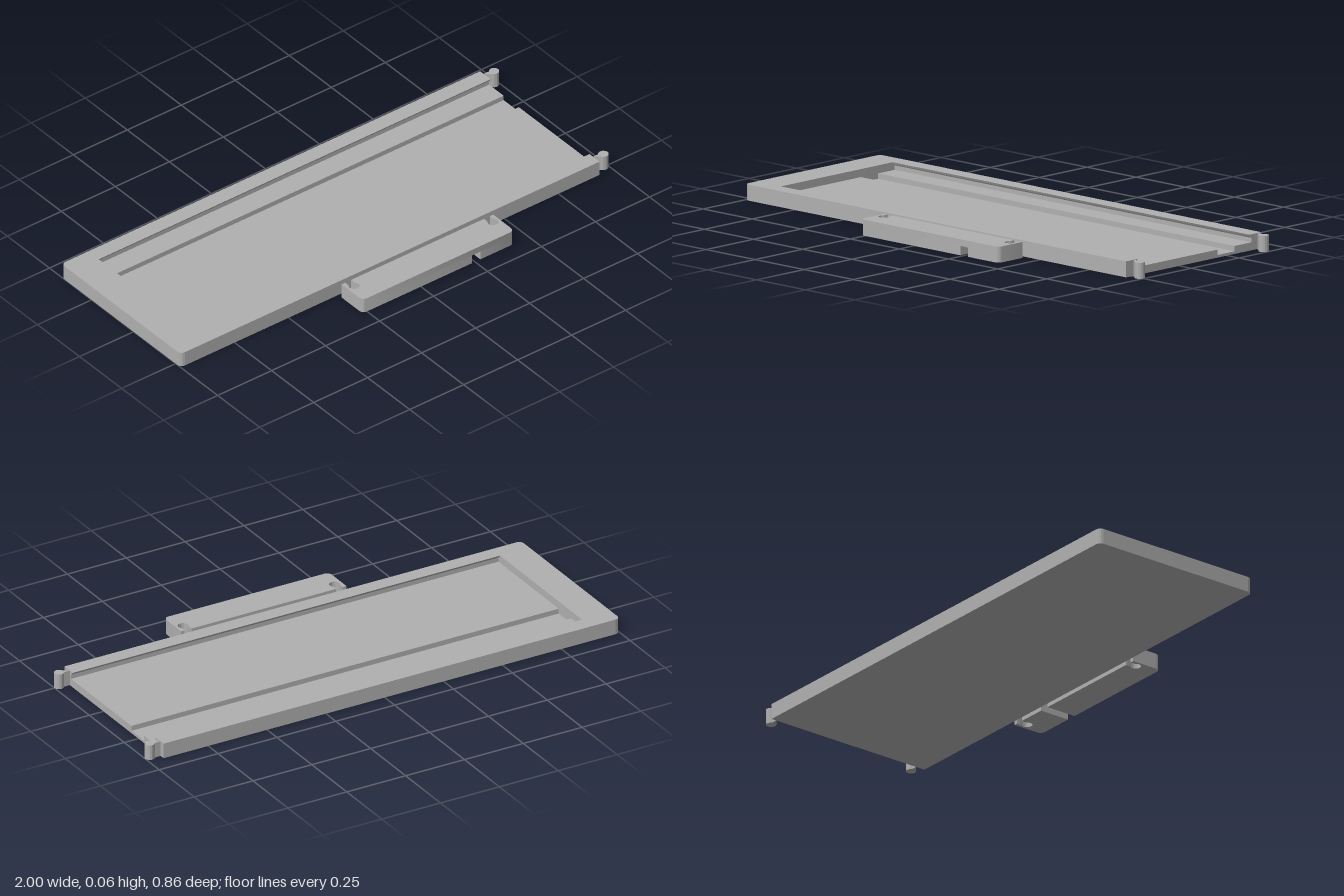
import * as THREE from 'three';
import { toCreasedNormals } from 'three/addons/utils/BufferGeometryUtils.js';

const H = 0.06; // overall thickness
const grey = new THREE.MeshStandardMaterial({ color: 0xb0b0b0 });
grey.name = 'plain grey';

function addMesh(group, name, geometry) {
  const mesh = new THREE.Mesh(toCreasedNormals(geometry, 0.6), grey);
  mesh.name = name;
  group.add(mesh);
}

// Plan outline drawn as (x, -z), extruded upwards from y0
function upright(shape, y0, height) {
  return new THREE.ExtrudeGeometry(shape, { depth: height, bevelEnabled: false, curveSegments: 16 })
    .rotateX(-Math.PI / 2).translate(0, y0, 0);
}

// Section given as [z, y] points, extruded along x
function alongX(points, x0, x1) {
  const shape = new THREE.Shape(points.map(([z, y]) => new THREE.Vector2(-z, y)));
  return new THREE.ExtrudeGeometry(shape, { depth: x1 - x0, bevelEnabled: false })
    .rotateY(Math.PI / 2).translate(x0, 0, 0);
}

// Latch outline with keyhole slots in its back edge and optional rounded front corners
function latchShape(x0, x1, slots, roundLeft, roundRight) {
  const back = -0.3, front = -0.425, r = 0.02, neck = 0.014;
  const a = Math.asin(neck / r);
  const s = new THREE.Shape();
  s.moveTo(x0, back);
  for (const x of slots) {
    s.lineTo(x - neck, back);
    s.absarc(x, -0.335, r, Math.PI / 2 + a, Math.PI * 2.5 - a, false);
    s.lineTo(x + neck, back);
  }
  s.lineTo(x1, back);
  if (roundRight) s.absarc(x1 - r, front + r, r, 0, -Math.PI / 2, true);
  else s.lineTo(x1, front);
  if (roundLeft) s.absarc(x0 + r, front + r, r, -Math.PI / 2, -Math.PI, true);
  else s.lineTo(x0, front);
  s.closePath();
  return s;
}

export function createModel() {
  const model = new THREE.Group();
  model.name = 'trayAndLatch';

  // Open-ended tray with undercut side walls and a long groove in the floor
  const tray = new THREE.Group();
  tray.name = 'tray';
  addMesh(tray, 'trayChannel', alongX([
    [0.28, 0], [0.28, H], [0.22, H], [0.223, 0.054], [0.232, 0.047], [0.232, 0.03],
    [-0.2, 0.03], [-0.2, 0.01], [-0.29, 0.01], [-0.29, 0.03],
    [-0.377, 0.03], [-0.377, 0.047], [-0.369, 0.054], [-0.367, H], [-0.43, H], [-0.43, 0],
  ], -0.875, 0.94));

  // Closed end with rounded outer corners
  const end = new THREE.Shape();
  end.moveTo(-0.875, -0.28);
  end.lineTo(-0.875, 0.43);
  end.absarc(-0.98, 0.41, 0.02, Math.PI / 2, Math.PI, false);
  end.absarc(-0.98, -0.26, 0.02, Math.PI, Math.PI * 1.5, false);
  end.closePath();
  addMesh(tray, 'trayEnd', upright(end, 0, H));

  // Round hinge pegs on short necks at the open end
  for (const [name, z] of [['frontPeg', 0.25], ['backPeg', -0.4]]) {
    const r = 0.019, w = 0.009, a = Math.PI - Math.asin(w / r);
    const peg = new THREE.Shape();
    peg.moveTo(0.94, -z - w);
    peg.absarc(0.981, -z, r, -a, a, false);
    peg.lineTo(0.94, -z + w);
    peg.closePath();
    addMesh(tray, name, upright(peg, 0, H));
  }
  model.add(tray);

  // Separate latch bar with two keyholes and a notch cut across its underside
  const latch = new THREE.Group();
  latch.name = 'latch';
  const notchTop = 0.035;
  addMesh(latch, 'latchTop', upright(latchShape(-0.27, 0.432, [-0.24, 0.403], true, true), notchTop, H - notchTop));
  addMesh(latch, 'latchLeftFoot', upright(latchShape(0.275, 0.432, [0.403], false, true), 0, notchTop));
  addMesh(latch, 'latchRightFoot', upright(latchShape(-0.27, 0.237, [-0.24], true, false), 0, notchTop));
  model.add(latch);

  return model;
}
